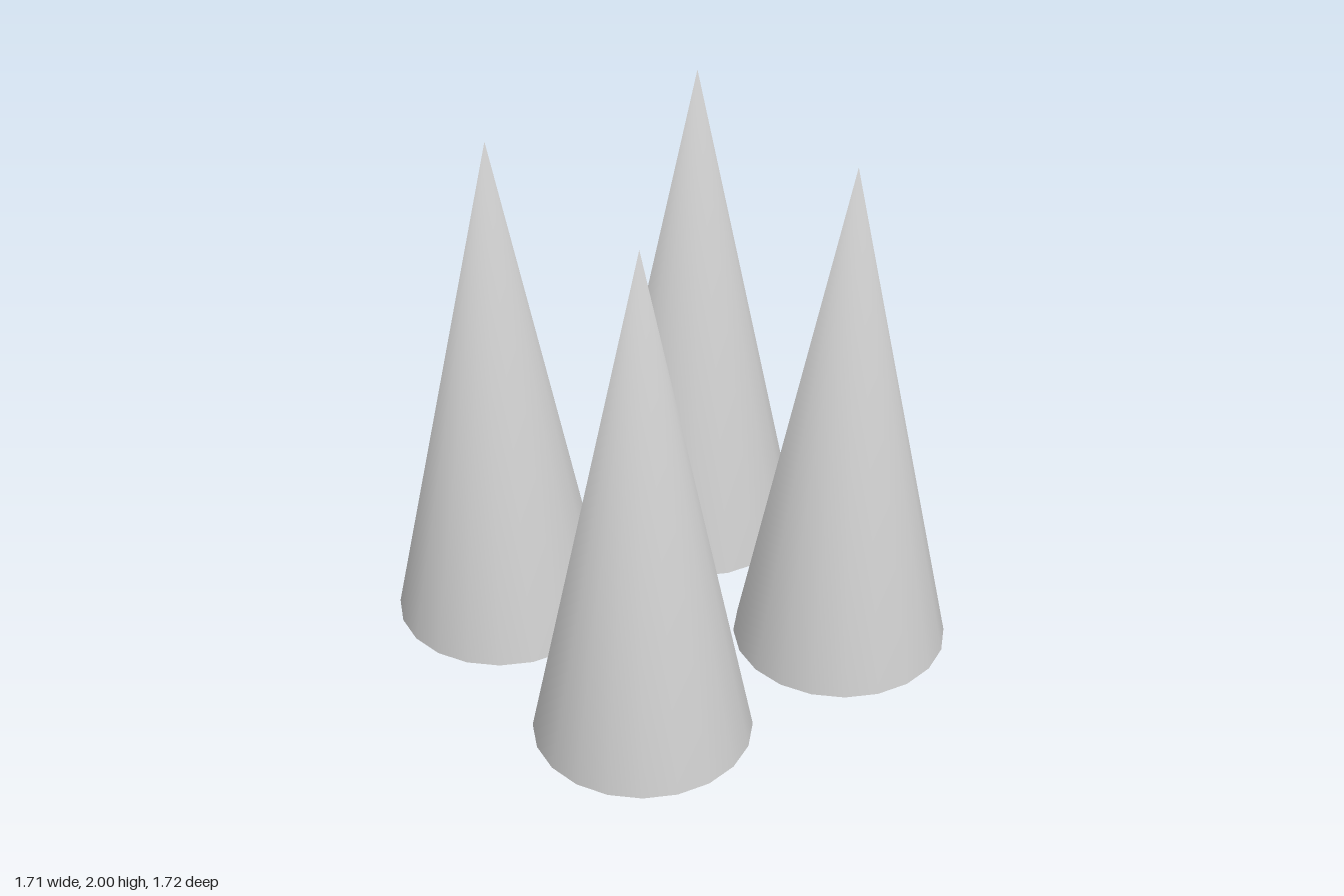
import * as THREE from 'three';

const RADIUS = 0.4, HEIGHT = 2, SIDES = 20;
const SPACING_X = 0.455, SPACING_Z = 0.46;

// Closed cone standing on y = 0, with normals blending to straight up at the tip
function coneGeometry() {
  const geometry = new THREE.ConeGeometry(RADIUS, HEIGHT, SIDES);
  geometry.translate(0, HEIGHT / 2, 0);
  const { position, normal } = geometry.attributes;
  for (let i = 0; i < position.count; i++) {
    if (position.getY(i) > HEIGHT / 2) normal.setXYZ(i, 0, 1, 0);
  }
  return geometry;
}

export function createModel() {
  const model = new THREE.Group();
  model.name = 'cones';
  const geometry = coneGeometry();
  const material = new THREE.MeshStandardMaterial({ color: 0xcccccc });

  // Four identical cones, one in each corner
  for (const [depth, sz] of [['front', 1], ['back', -1]]) {
    for (const [side, sx] of [['Left', 1], ['Right', -1]]) {
      const cone = new THREE.Mesh(geometry, material);
      cone.name = `${depth}${side}Cone`;
      cone.position.set(sx * SPACING_X, 0, sz * SPACING_Z);
      model.add(cone);
    }
  }
  return model;
}
